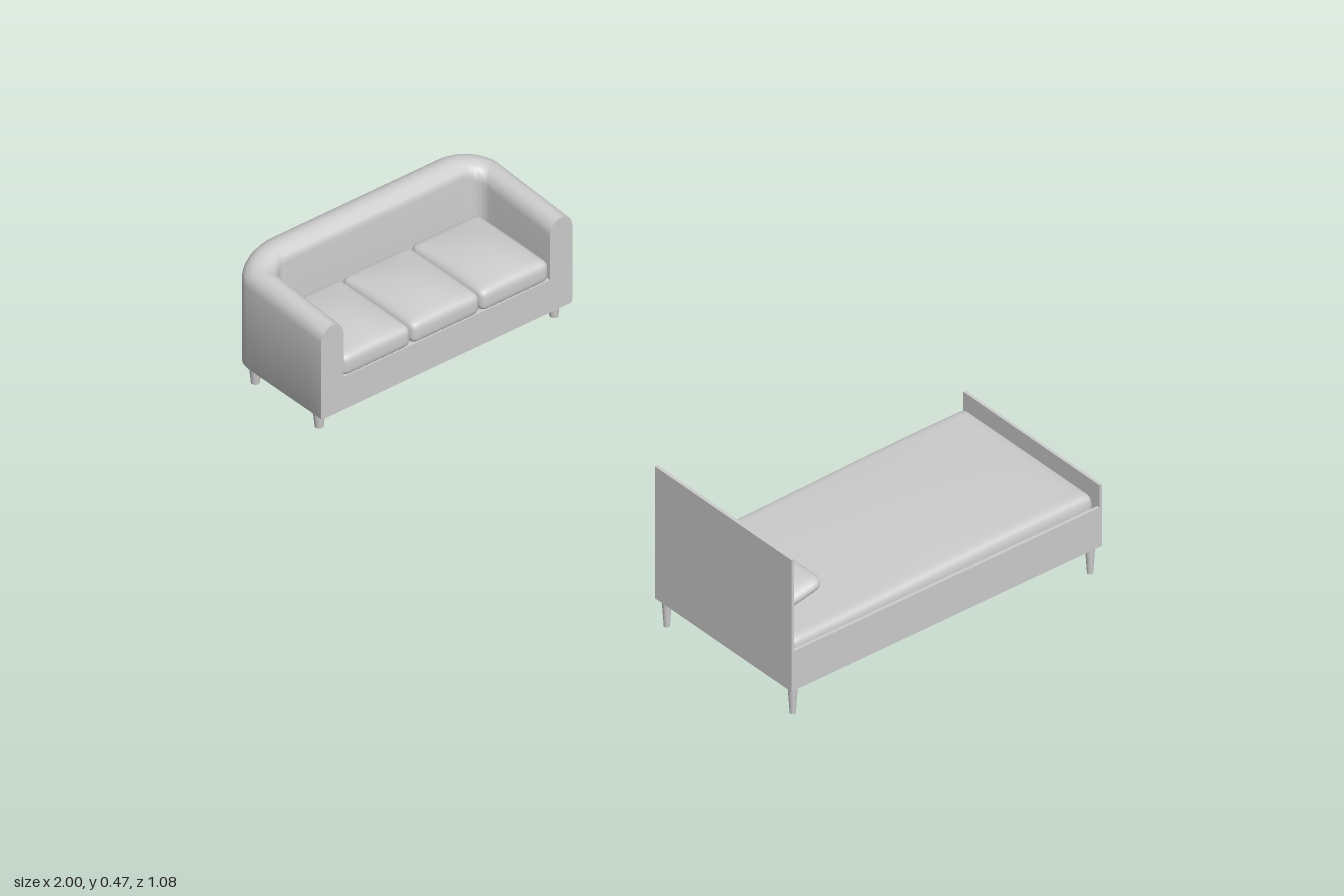
import * as THREE from 'three';
import { mergeVertices, toCreasedNormals } from 'three/addons/utils/BufferGeometryUtils.js';

const material = new THREE.MeshStandardMaterial({ color: 0xcccccc });

function add(parent, geometry, name, x = 0, y = 0, z = 0) {
  const mesh = new THREE.Mesh(geometry, material);
  mesh.name = name;
  mesh.position.set(x, y, z);
  parent.add(mesh);
  return mesh;
}

// Box given by its limits on each axis
function slab(parent, name, x0, x1, y0, y1, z0, z1) {
  return add(parent, new THREE.BoxGeometry(x1 - x0, y1 - y0, z1 - z0), name,
    (x0 + x1) / 2, (y0 + y1) / 2, (z0 + z1) / 2);
}

// Soft box: rounded edges plus a crown on the top and the underside
function softBox(w, h, d, radius, crownTop, crownBottom = 0, cornerRadius = radius) {
  let geo = new THREE.BoxGeometry(2, 2, 2, 24, 10, 24);
  geo.deleteAttribute('normal');
  geo.deleteAttribute('uv');
  geo = mergeVertices(geo);
  const p = geo.attributes.position;
  const ease = (t) => Math.sin(t * Math.PI / 2);
  const half = new THREE.Vector3(w / 2, h / 2, d / 2);
  const r = new THREE.Vector3(cornerRadius, radius, cornerRadius);
  const inner = half.clone().sub(r);
  const v = new THREE.Vector3(), core = new THREE.Vector3();
  for (let i = 0; i < p.count; i++) {
    v.set(ease(p.getX(i)), ease(p.getY(i)), ease(p.getZ(i))).multiply(half);
    core.copy(v).clamp(inner.clone().negate(), inner);
    v.sub(core).divide(r);
    if (v.lengthSq() > 0) v.normalize();
    v.multiply(r).add(core);
    const bulge = (1 - (v.x / half.x) ** 2) * (1 - (v.z / half.z) ** 2);
    v.y += v.y > 0 ? crownTop * bulge * v.y / half.y : crownBottom * bulge * v.y / half.y;
    p.setXYZ(i, v.x, v.y, v.z);
  }
  geo.computeVertexNormals();
  return geo;
}

// Four tapered legs
function legs(parent, xs, zs, height, top, bottom) {
  for (const x of xs) for (const z of zs) {
    add(parent, new THREE.CylinderGeometry(top, bottom, height, 20), 'leg', x, height / 2, z);
  }
}

// Arms and back: one rounded-top section carried round a U
function shellGeometry() {
  const midZ = 0.1475;
  const side = [];
  for (let i = 0; i <= 6; i++) {
    const t = i / 6;
    side.push({ ox: -0.64 - 0.28 * t, oz: -0.245, ix: -0.64 - 0.23 * t, iz: -0.175, h: 0.313 + 0.017 * t });
  }
  for (let i = 1; i <= 12; i++) {
    const a = i / 12 * Math.PI / 2, s = Math.sin(a), c = Math.cos(a);
    side.push({
      ox: -0.92 - 0.08 * s, oz: -0.11 - 0.135 * c,
      ix: -0.87 - 0.045 * s, iz: -0.13 - 0.045 * c,
      h: 0.33 + 0.021 * THREE.MathUtils.smoothstep(i / 12, 0, 1),
    });
  }
  const other = side.map((q) => ({ ...q, oz: 2 * midZ - q.oz, iz: 2 * midZ - q.iz })).reverse();
  const path = [...side, ...other];

  const positions = [], index = [];
  const section = (h) => {
    const pts = [[0.05, 0.05], [0, 0.056]];
    for (let k = 0; k <= 12; k++) {
      const a = k / 12 * Math.PI;
      pts.push([0.5 - 0.5 * Math.cos(a), h - 0.04 + 0.04 * Math.sin(a)]);
    }
    pts.push([1, 0.05]);
    return pts;
  };
  const n = section(0.3).length;
  for (const q of path) {
    for (const [s, y] of section(q.h)) {
      positions.push(q.ox + (q.ix - q.ox) * s, y, q.oz + (q.iz - q.oz) * s);
    }
  }
  for (let i = 0; i < path.length - 1; i++) for (let j = 0; j < n; j++) {
    const k = (j + 1) % n;
    const a = i * n + j, b = i * n + k, c = a + n, d = b + n;
    index.push(a, c, b, b, c, d);
  }
  // Flat fronts of the two arms
  for (const [ring, flip] of [[0, false], [path.length - 1, true]]) {
    const q = path[ring], centre = positions.length / 3;
    positions.push(q.ox, 0.18, (q.oz + q.iz) / 2);
    for (let j = 0; j < n; j++) {
      const a = ring * n + j, b = ring * n + (j + 1) % n;
      index.push(centre, flip ? b : a, flip ? a : b);
    }
  }
  const geo = new THREE.BufferGeometry();
  geo.setAttribute('position', new THREE.Float32BufferAttribute(positions, 3));
  geo.setIndex(index);
  return toCreasedNormals(geo, 0.75);
}

function createSofa() {
  const sofa = new THREE.Group();
  sofa.name = 'sofa';
  add(sofa, shellGeometry(), 'armsAndBack');
  slab(sofa, 'seatBase', -0.93, -0.64, 0.05, 0.145, -0.177, 0.472);
  // Three seat cushions
  for (let i = -1; i <= 1; i++) {
    add(sofa, softBox(0.276, 0.06, 0.216, 0.018, 0.018, 0, 0.022), 'seatCushion', -0.776, 0.17, 0.1475 + i * 0.2155);
  }
  legs(sofa, [-0.92, -0.68], [-0.22, 0.513], 0.052, 0.016, 0.011);
  return sofa;
}

function createBed() {
  const bed = new THREE.Group();
  bed.name = 'bed';
  slab(bed, 'headboard', 0.485, 1, 0.08, 0.465, 0.42, 0.429);
  slab(bed, 'footboard', 0.485, 1, 0.08, 0.26, -0.541, -0.533);
  slab(bed, 'sideRail', 0.485, 0.494, 0.08, 0.195, -0.535, 0.422);
  slab(bed, 'sideRail', 0.991, 1, 0.08, 0.195, -0.535, 0.422);
  slab(bed, 'bedBottom', 0.49, 0.995, 0.16, 0.17, -0.535, 0.422);

  // Mattress, a little fuller towards the foot
  const mattress = softBox(0.492, 0.052, 0.945, 0.02, 0.005, 0, 0.02);
  const p = mattress.attributes.position;
  for (let i = 0; i < p.count; i++) {
    if (p.getY(i) > 0) p.setY(i, p.getY(i) + 0.013 * THREE.MathUtils.smoothstep(-p.getZ(i), -0.45, 0.35) * p.getY(i) / 0.026);
  }
  mattress.computeVertexNormals();
  add(bed, mattress, 'mattress', 0.7425, 0.19, -0.056);

  // Pillow, tipped up towards the foot
  const pillow = add(bed, softBox(0.315, 0.036, 0.16, 0.017, 0.014, 0.008, 0.03), 'pillow', 0.738, 0.244, 0.315);
  pillow.rotation.x = 0.2;

  legs(bed, [0.505, 0.98], [-0.52, 0.408], 0.085, 0.013, 0.0075);
  // Upper leg posts inside the frame corners
  for (const x of [0.505, 0.98]) for (const z of [-0.52, 0.408]) {
    add(bed, new THREE.CylinderGeometry(0.013, 0.013, 0.08, 20), 'legPost', x, 0.125, z);
  }
  return bed;
}

export function createModel() {
  const model = new THREE.Group();
  model.name = 'sofaAndBed';
  model.add(createSofa(), createBed());
  return model;
}
